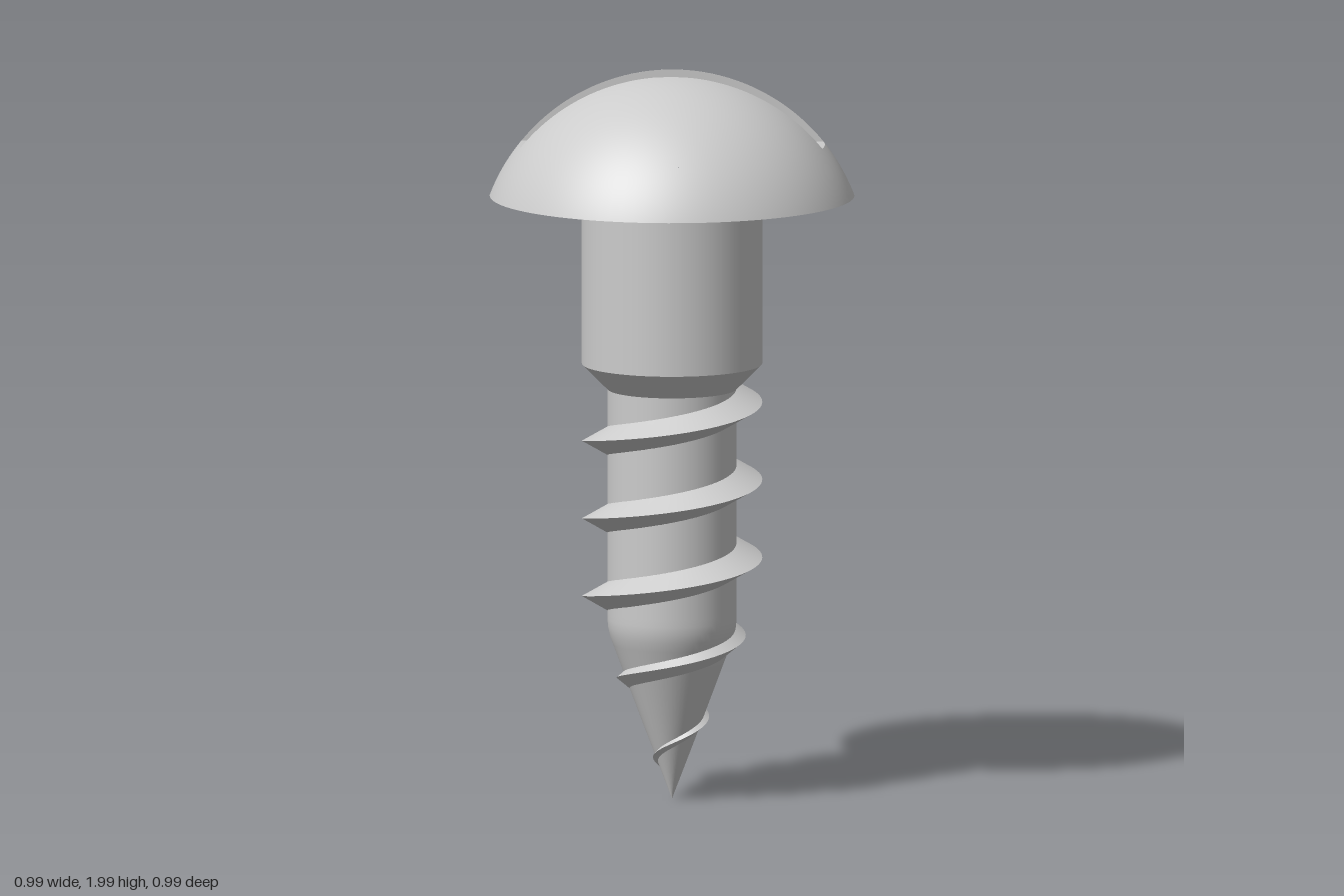
import * as THREE from 'three';

const material = new THREE.MeshStandardMaterial({ color: 0xcccccc });

// Head: spherical cap with a straight slot along x
const R = 0.53, CENTRE = 2 - R, BASE = 1.66, FLOOR = 1.8, SLOT = 0.066;
// Shank, core and thread
const SHANK = 0.245, CORE = 0.175;

function addMesh(parent, name, geometry) {
  const mesh = new THREE.Mesh(geometry, material);
  mesh.name = name;
  parent.add(mesh);
  return mesh;
}

// Surface from a function of (u, v) in 0..1; it faces du x dv
function grid(nu, nv, point) {
  const pos = [], index = [];
  for (let i = 0; i <= nu; i++)
    for (let j = 0; j <= nv; j++) pos.push(...point(i / nu, j / nv));
  for (let i = 0; i < nu; i++)
    for (let j = 0; j < nv; j++) {
      const a = i * (nv + 1) + j, b = a + nv + 1;
      index.push(a, b, a + 1, b, b + 1, a + 1);
    }
  const g = new THREE.BufferGeometry();
  g.setAttribute('position', new THREE.Float32BufferAttribute(pos, 3));
  g.setIndex(index);
  g.computeVertexNormals();
  return g;
}

// Patch of the head's sphere between two polar angles, with exact normals
function spherePatch(nu, nv, from, to, range) {
  const g = grid(nu, nv, (u, v) => {
    const theta = from + (to - from) * v, r = R * Math.sin(theta);
    const [a, b] = range(r), phi = a + (b - a) * u;
    return [r * Math.cos(phi), CENTRE + R * Math.cos(theta), -r * Math.sin(phi)];
  });
  const p = g.attributes.position, n = g.attributes.normal;
  for (let i = 0; i < p.count; i++)
    n.setXYZ(i, p.getX(i) / R, (p.getY(i) - CENTRE) / R, p.getZ(i) / R);
  return g;
}

function createHead() {
  const head = new THREE.Group();
  head.name = 'head';
  const thetaBase = Math.acos((BASE - CENTRE) / R);
  const thetaFloor = Math.acos((FLOOR - CENTRE) / R);
  const floorRadius = R * Math.sin(thetaFloor);

  addMesh(head, 'headRim', spherePatch(96, 10, thetaBase, thetaFloor, () => [0, 2 * Math.PI]));
  addMesh(head, 'headUnderside',
    new THREE.RingGeometry(SHANK - 0.01, R * Math.sin(thetaBase), 96).rotateX(Math.PI / 2).translate(0, BASE, 0));

  // Two dome halves, each with its slot wall
  const rho = Math.sqrt(R * R - SLOT * SLOT);
  const chord = Math.asin((FLOOR - CENTRE) / rho);
  const wall = new THREE.Shape().absarc(0, CENTRE, rho, chord, Math.PI - chord, false);
  for (const turn of [0, Math.PI]) {
    const half = new THREE.Group();
    half.name = turn ? 'frontDome' : 'backDome';
    half.rotation.y = turn;
    addMesh(half, 'domeSurface', spherePatch(64, 24, thetaFloor, Math.asin(SLOT / R), (r) => {
      const a = Math.asin(Math.min(1, SLOT / r));
      return [a, Math.PI - a];
    }));
    addMesh(half, 'slotWall', new THREE.ShapeGeometry(wall, 48).translate(0, 0, -SLOT));
    head.add(half);
  }

  // Slot floor with ends following the dome
  const a = Math.asin(SLOT / floorRadius);
  const floor = new THREE.Shape();
  floor.absarc(0, 0, floorRadius, -a, a, false);
  floor.absarc(0, 0, floorRadius, Math.PI - a, Math.PI + a, false);
  addMesh(head, 'slotFloor', new THREE.ShapeGeometry(floor, 8).rotateX(-Math.PI / 2).translate(0, FLOOR, 0));
  return head;
}

// V-shaped thread, shrinking down the point
function createThread() {
  const thread = new THREE.Group();
  thread.name = 'thread';
  const START = -3.6, END = 1.5;
  const section = (turn) => {
    const y = turn > -1.5 ? 0.88 + 0.213 * turn : 0.56 + 0.225 * (turn + 1.5);
    const crest = Math.min(SHANK, 0.445 * y), s = crest / SHANK;
    const root = Math.min(CORE, 0.372 * y) - 0.025 * s, h = 0.053 * s;
    const phi = turn * 2 * Math.PI, c = Math.cos(phi), d = -Math.sin(phi);
    return [[root * c, y - h, root * d], [crest * c, y, crest * d], [root * c, y + h, root * d]];
  };
  const flank = (k) => grid(400, 1, (u, v) => section(START + (END - START) * u)[k + v]);
  addMesh(thread, 'lowerFlank', flank(0));
  addMesh(thread, 'upperFlank', flank(1));

  // Closed lower end of the thread
  const end = new THREE.BufferGeometry();
  end.setAttribute('position', new THREE.Float32BufferAttribute(section(START).flat(), 3));
  end.computeVertexNormals();
  addMesh(thread, 'threadStart', end);
  return thread;
}

export function createModel() {
  const screw = new THREE.Group();
  screw.name = 'screw';
  screw.add(createHead());

  const lathe = (name, points) =>
    addMesh(screw, name, new THREE.LatheGeometry(points.map(([x, y]) => new THREE.Vector2(x, y)), 64));
  lathe('shank', [[SHANK, 1.2], [SHANK, BASE]]);
  lathe('shankChamfer', [[CORE, 1.13], [SHANK, 1.2]]);
  lathe('coreAndPoint', [[0, 0.005], [0.08, 0.215], [0.16, 0.43], [0.169, 0.455],
    [0.174, 0.48], [CORE, 0.5], [CORE, 0.52], [CORE, 1.13]]);

  screw.add(createThread());
  return screw;
}
